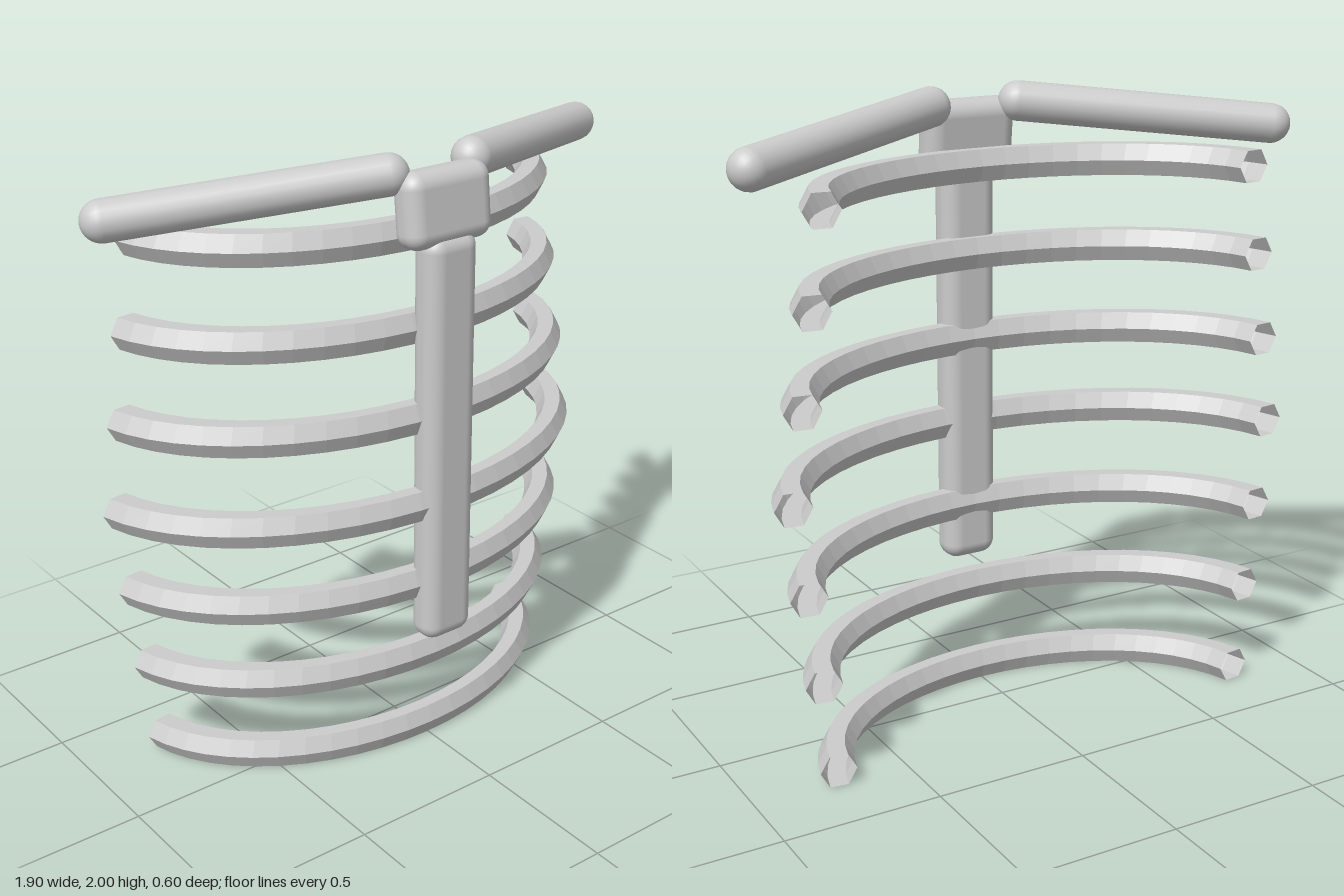
import * as THREE from 'three';
import { RoundedBoxGeometry } from 'three/addons/geometries/RoundedBoxGeometry.js';

const bone = new THREE.MeshStandardMaterial({ color: 0xcccccc });
const ribBone = new THREE.MeshStandardMaterial({
  color: 0xcccccc, flatShading: true, side: THREE.DoubleSide,
});

function addMesh(parent, name, geometry, material) {
  const mesh = new THREE.Mesh(geometry, material);
  mesh.name = name;
  parent.add(mesh);
  return mesh;
}

// Open hexagonal hoop, flattened front to back, with its gap at the rear
function ribGeometry(radius) {
  const arc = Math.PI * 0.9;
  return new THREE.TorusGeometry(radius, 0.058, 6, 24, arc)
    .rotateZ((Math.PI - arc) / 2)
    .rotateX(Math.PI / 2)
    .scale(1, 1, 0.73);
}

// Round-ended bar between two points
function addBar(parent, name, a, b, radius) {
  const dir = b.clone().sub(a);
  const bar = addMesh(parent, name, new THREE.CapsuleGeometry(radius, dir.length(), 8, 20), bone);
  bar.position.copy(a).add(b).multiplyScalar(0.5);
  bar.quaternion.setFromUnitVectors(new THREE.Vector3(0, 1, 0), dir.normalize());
}

export function createModel() {
  const group = new THREE.Group();
  group.name = 'ribCage';

  // Seven ribs, widest in the middle
  for (let i = 0; i < 7; i++) {
    const radius = 0.853 - 0.037 * Math.abs(i - 3);
    const rib = addMesh(group, 'rib' + (i + 1), ribGeometry(radius), ribBone);
    rib.position.set(0, 0.051 + i * 0.283, -0.379);
  }

  // Breastbone and its broader, slightly tilted head
  const sternum = addMesh(group, 'sternum', new RoundedBoxGeometry(0.184, 1.34, 0.115, 5, 0.05), bone);
  sternum.position.set(0, 1.09, 0.245);

  const head = addMesh(group, 'sternumHead', new RoundedBoxGeometry(0.31, 0.23, 0.115, 5, 0.05), bone);
  head.position.set(0, 1.835, 0.23);
  head.rotation.x = -0.1;

  // Collarbones sweep outward, down and back
  for (const [name, s] of [['leftCollarbone', 1], ['rightCollarbone', -1]]) {
    addBar(group, name,
      new THREE.Vector3(s * 0.155, 1.937, 0.172),
      new THREE.Vector3(s * 0.888, 1.857, -0.17), 0.063);
  }

  return group;
}
